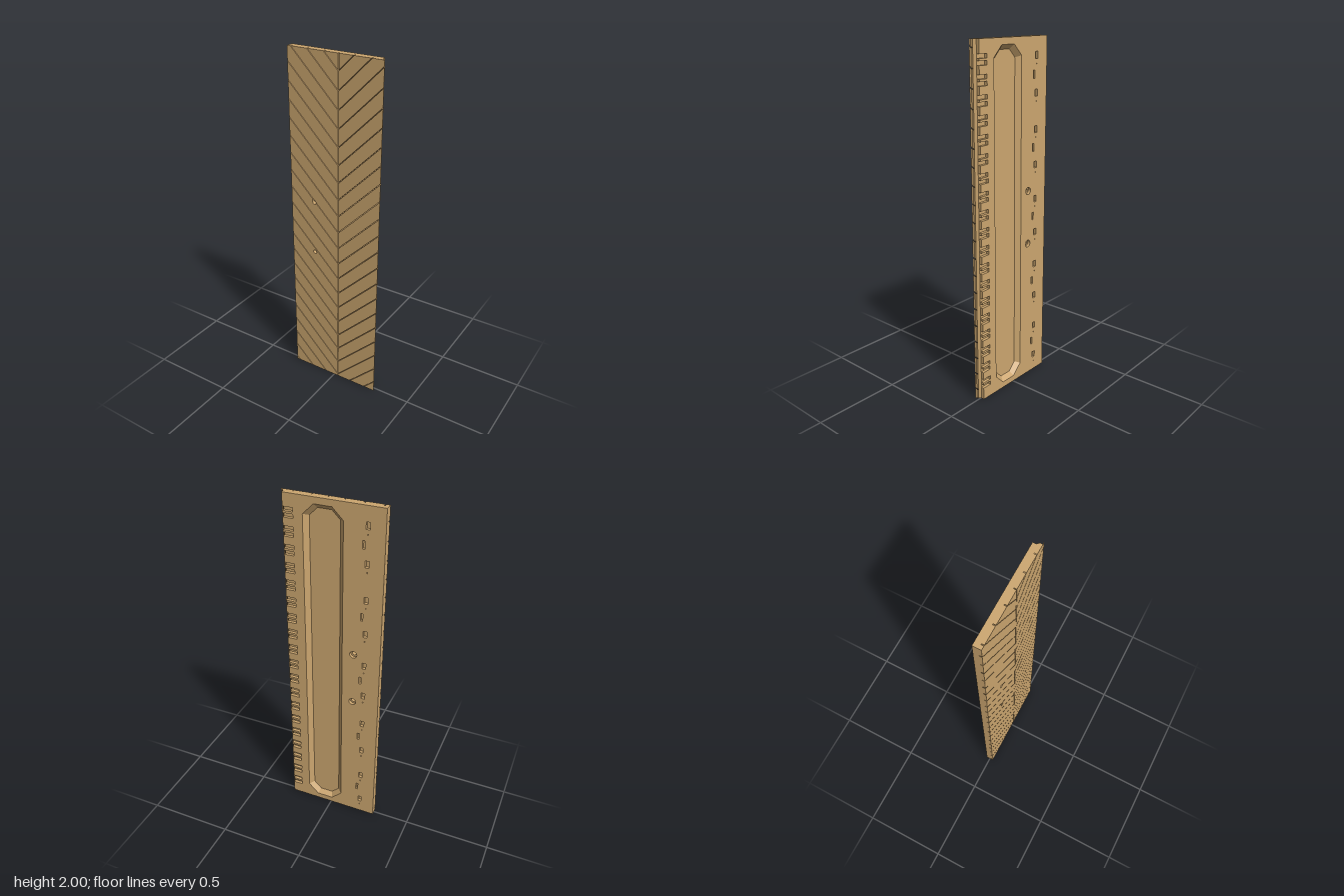
import * as THREE from 'three';

const LEFT = -0.283, EDGE = 0.26, STEP = 0.272, LIP = 0.283, SPINE = 0.027;
const BACK = -0.0225, POCKET = -0.005, FLOOR = 0.003, GROOVE = 0.008, SKIN = 0.0205, FRONT = 0.0225;
const SCREWS = [[-0.13, 1.158], [-0.13, 0.843]], BORE = 0.011;
const TIP = 0.013, PITCH = 0.1, GAP = 0.0025;

const v2 = pts => pts.map(p => new THREE.Vector2(p[0], p[1]));

function slab(shapes, z0, z1) {
  const geo = new THREE.ExtrudeGeometry(shapes, { depth: z1 - z0, bevelEnabled: false, curveSegments: 10 });
  return geo.translate(0, 0, z0);
}

function circle(x, y, r) {
  return new THREE.Path().absarc(x, y, r, 0, Math.PI * 2, true);
}

function rect(x, y, w, h) {
  return new THREE.Path(v2([[x - w / 2, y - h / 2], [x - w / 2, y + h / 2], [x + w / 2, y + h / 2], [x + w / 2, y - h / 2]]));
}

// long octagon of the back recess, shrunk by d
function octagon(d) {
  const x0 = -0.066 + d, x1 = 0.151 - d, y0 = 0.035 + d, y1 = 1.965 - d, c = 0.06 - d * 0.586;
  return [[x0 + c, y0], [x1 - c, y0], [x1, y0 + c], [x1, y1 - c], [x1 - c, y1], [x0 + c, y1], [x0, y1 - c], [x0, y0 + c]];
}

// outline with paired notches along the +x edge
function notchedOutline() {
  const pts = [[LEFT, 0], [EDGE, 0]];
  for (let i = 1; i <= 19; i++) {
    for (const [a, b] of [[-0.028, -0.006], [0.006, 0.028]]) {
      const y = i * 0.1;
      pts.push([EDGE, y + a], [0.203, y + a], [0.203, y + b], [EDGE, y + b]);
    }
  }
  pts.push([EDGE, 2], [LEFT, 2]);
  return new THREE.Shape(v2(pts));
}

function plainOutline() {
  return new THREE.Shape(v2([[LEFT, 0], [EDGE, 0], [EDGE, 2], [LEFT, 2]]));
}

// slanted planks between x0 and x1, trimmed to the panel and around the screw holes
function planks(x0, x1) {
  const shapes = [];
  for (let k = -5; k < 21; k++) {
    const low = TIP + k * PITCH + GAP, high = TIP + (k + 1) * PITCH - GAP;
    const rise = x => Math.abs(x - SPINE);
    const holes = [];
    const bites = [];
    for (const [cx, cy] of SCREWS) {
      if (cx < x0 || cx > x1) continue;
      const a = cy - low - rise(cx), b = high + rise(cx) - cy;
      if (a > 0.018 && b > 0.018) holes.push([cx, cy]);
      else if (a > -0.02 && b > -0.02) bites.push([cx, cy, a < b]);
    }
    const xs = [x0, x1];
    const side = x0 < SPINE - 0.01 ? -1 : 1;
    for (const edge of [0 - low, 0 - high, 2 - low, 2 - high]) {
      const x = SPINE + side * edge;
      if (edge > 0 && x > x0 && x < x1) xs.push(x);
    }
    for (const [cx] of bites) for (let i = 0; i <= 16; i++) xs.push(cx - BORE * Math.cos(i * Math.PI / 16));
    xs.sort((p, q) => p - q);
    const bottom = [], top = [];
    for (const x of xs) {
      let b = Math.max(0, low + rise(x)), t = Math.min(2, high + rise(x));
      for (const [cx, cy, isLow] of bites) {
        const h = BORE * BORE - (x - cx) ** 2;
        if (h <= 0) continue;
        if (isLow) b = Math.max(b, cy + Math.sqrt(h));
        else t = Math.min(t, cy - Math.sqrt(h));
      }
      if (t - b < -1e-6) continue;
      bottom.push([x, b]);
      if (t - b > 1e-6) top.unshift([x, t]);
    }
    if (bottom.length < 2 || bottom.length + top.length < 3) continue;
    const shape = new THREE.Shape(v2([...bottom, ...top]));
    for (const [cx, cy] of holes) shape.holes.push(circle(cx, cy, BORE));
    shapes.push(shape);
  }
  return shapes;
}

export function createModel() {
  const group = new THREE.Group();
  const wood = new THREE.MeshStandardMaterial({ color: 0xcda770 });
  wood.name = 'tan wood';
  wood.side = THREE.DoubleSide;
  const add = (name, geo) => {
    const mesh = new THREE.Mesh(geo, wood);
    mesh.name = name;
    group.add(mesh);
  };

  // back layer: recess, edge notches, small pockets and counterbores
  const back = notchedOutline();
  back.holes.push(new THREE.Path(v2(octagon(0))));
  for (const [x, y] of SCREWS) back.holes.push(circle(x, y, 0.021));
  for (let i = 0; i < 10; i++) {
    const y = 0.1 + i * 0.2;
    back.holes.push(rect(-0.193, y, 0.022, 0.038), rect(-0.193, y - 0.045, 0.005, 0.006));
  }
  for (let i = 0; i < 5; i++) back.holes.push(rect(-0.172, 0.2 + i * 0.4, 0.013, 0.045));
  add('backLayer', slab(back, BACK, POCKET));

  // middle layer: deeper part of the recess
  const middle = plainOutline();
  middle.holes.push(new THREE.Path(v2(octagon(0))));
  for (const [x, y] of SCREWS) middle.holes.push(circle(x, y, BORE));
  add('middleLayer', slab(middle, POCKET, FLOOR));

  // thin web behind the planks
  const web = plainOutline();
  for (const [x, y] of SCREWS) web.holes.push(circle(x, y, BORE));
  add('web', slab(web, FLOOR, GROOVE));

  // sloped walls of the recess
  const rim = octagon(0), foot = octagon(0.0255), pos = [];
  for (let i = 0; i < 8; i++) {
    const j = (i + 1) % 8;
    const a = [...rim[i], BACK], b = [...rim[j], BACK], c = [...foot[j], FLOOR], d = [...foot[i], FLOOR];
    pos.push(...a, ...c, ...b, ...a, ...d, ...c);
  }
  const walls = new THREE.BufferGeometry();
  walls.setAttribute('position', new THREE.Float32BufferAttribute(pos, 3));
  walls.computeVertexNormals();
  add('recessWalls', walls);

  // chamfer under the overhanging edge
  const wedge = new THREE.Shape(v2([[EDGE, -POCKET], [STEP, -GROOVE], [EDGE, -GROOVE]]));
  const chamfer = new THREE.ExtrudeGeometry(wedge, { depth: 2, bevelEnabled: false });
  add('edgeChamfer', chamfer.rotateX(-Math.PI / 2));

  // chevron planks on the front, with a thin lip on the +x side
  add('rightPlanks', slab(planks(LEFT, SPINE - 0.002), GROOVE, FRONT));
  add('leftPlanks', slab(planks(SPINE + 0.002, STEP), GROOVE, SKIN));
  add('leftPlankFaces', slab(planks(SPINE + 0.002, LIP), SKIN, FRONT));
  return group;
}
